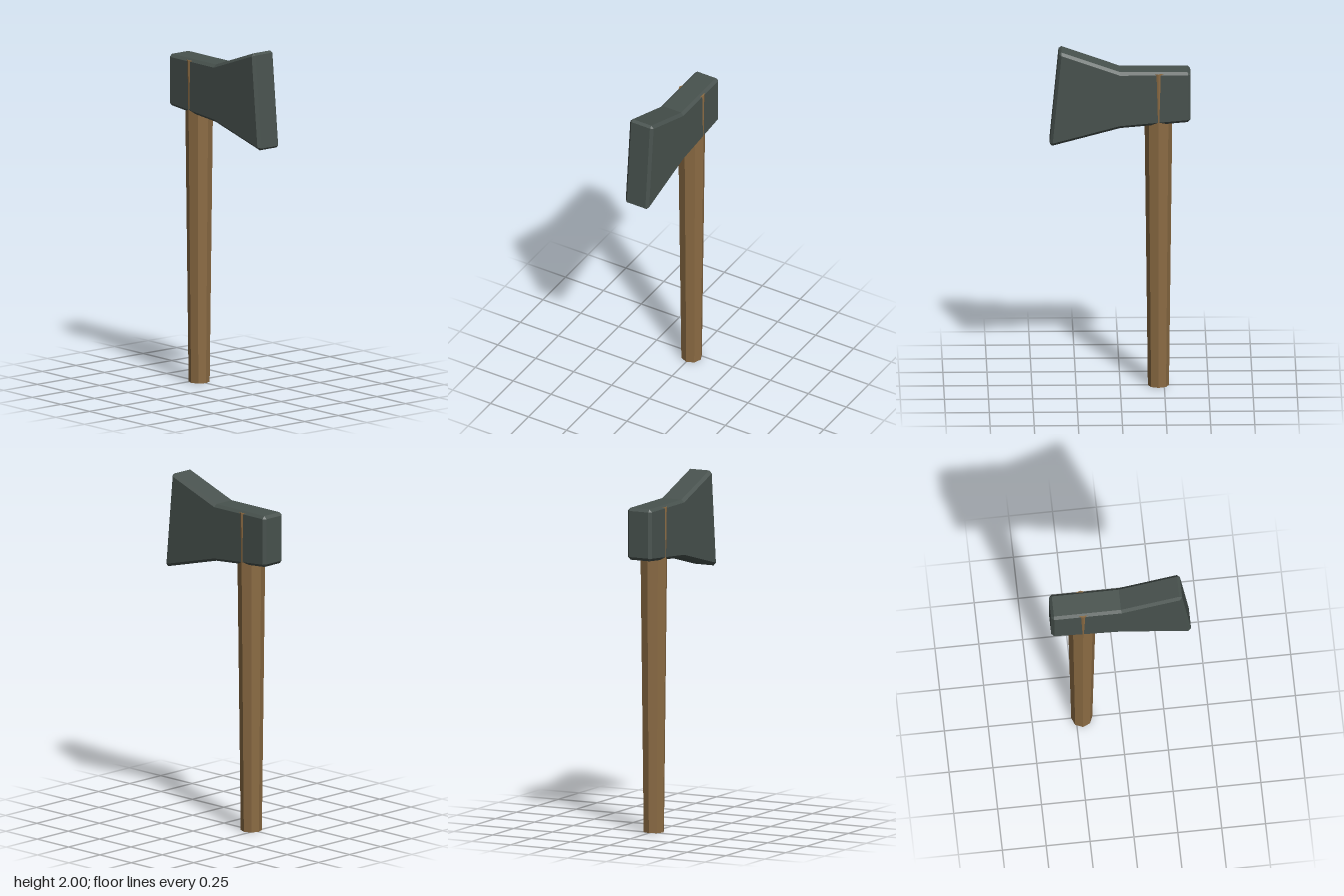
import * as THREE from 'three';

const BEVEL = 0.016;
const HALF_WIDTH = 0.077;

// Chamfered slab from a counter-clockwise (z, y) outline: every edge and sharp corner is cut.
function headGeometry(corners, sharp, caps) {
  const n = corners.length;
  const outer = [], inner = [];
  corners.forEach((p, i) => {
    const toPrev = corners[(i + n - 1) % n].clone().sub(p).normalize();
    const toNext = corners[(i + 1) % n].clone().sub(p).normalize();
    const cut = sharp[i] ? BEVEL : 0;
    outer.push(p.clone().addScaledVector(toPrev, cut), p.clone().addScaledVector(toNext, cut));
    const inset = p.clone().addScaledVector(toPrev.clone().add(toNext), BEVEL / toNext.cross(toPrev));
    inner.push(inset, inset);
  });
  const ring = (points, x) => points.map((p) => new THREE.Vector3(x, p.y, p.x));
  const rings = [
    ring(inner, -HALF_WIDTH),
    ring(outer, -HALF_WIDTH + BEVEL),
    ring(outer, HALF_WIDTH - BEVEL),
    ring(inner, HALF_WIDTH),
  ];

  const positions = [];
  const tri = (a, b, c) => {
    if (new THREE.Triangle(a, b, c).getArea() > 1e-8) {
      for (const v of [a, b, c]) positions.push(v.x, v.y, v.z);
    }
  };
  const quad = (a, b, c, d) => { tri(a, b, c); tri(a, c, d); };

  // bevels and rim
  for (let k = 0; k < 3; k++) {
    for (let i = 0; i < 2 * n; i++) {
      const j = (i + 1) % (2 * n);
      quad(rings[k][i], rings[k + 1][i], rings[k + 1][j], rings[k][j]);
    }
  }
  // flat cheeks
  for (const cap of caps) {
    quad(...cap.map((i) => rings[0][2 * i]));
    quad(...[...cap].reverse().map((i) => rings[3][2 * i]));
  }
  const geometry = new THREE.BufferGeometry();
  geometry.setAttribute('position', new THREE.Float32BufferAttribute(positions, 3));
  geometry.computeVertexNormals();
  return geometry;
}

export function createModel() {
  const model = new THREE.Group();
  model.name = 'axe';
  const metal = new THREE.MeshStandardMaterial({ color: 0x48524e, flatShading: true });
  const wood = new THREE.MeshStandardMaterial({ color: 0x8b6b43, flatShading: true });

  // axe head: flared blade at the front, square poll at the back
  const outline = [
    [0.401, 1.441], [0.347, 2.004], [0, 1.88],
    [-0.398, 1.88], [-0.398, 1.583], [0, 1.548],
  ].map(([z, y]) => new THREE.Vector2(z, y));
  const sharp = [true, true, false, true, true, false];
  const head = new THREE.Mesh(headGeometry(outline, sharp, [[0, 1, 2, 5], [2, 3, 4, 5]]), metal);
  head.name = 'axeHead';

  // tapered eight-sided handle, its side corners just breaking through the cheeks
  const height = 1.87;
  const handle = new THREE.Mesh(new THREE.CylinderGeometry(0.082, 0.06, height, 8), wood);
  handle.position.set(0, height / 2, -0.217);
  handle.name = 'handle';

  model.add(head, handle);
  return model;
}
